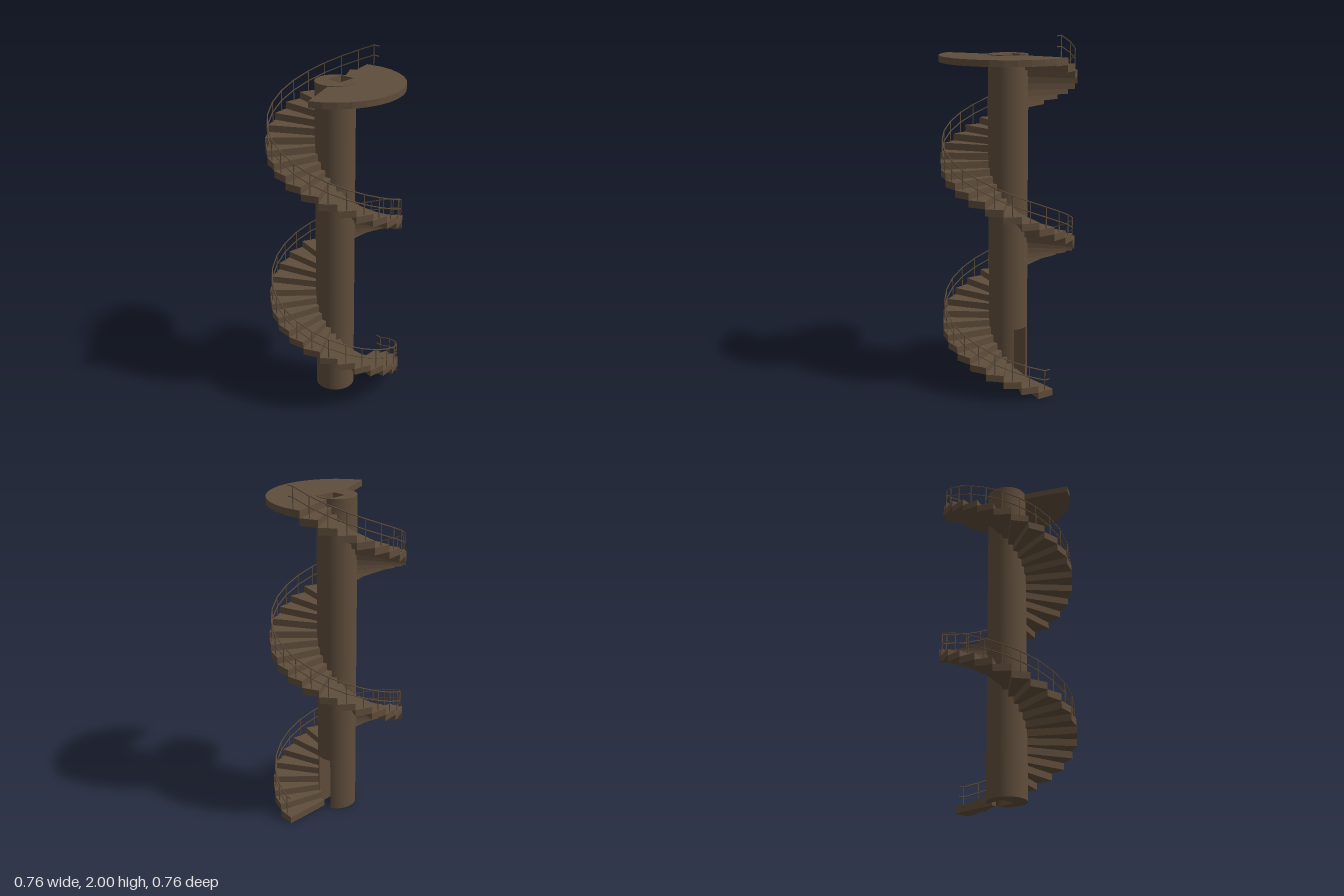
import * as THREE from 'three';
import { toCreasedNormals } from 'three/addons/utils/BufferGeometryUtils.js';

const STEPS = 48, SECTOR = Math.PI / 12, RISE = 1.88 / STEPS;
const R_COL = 0.111, R_OUT = 0.38, R_RAIL = 0.368;
const UP = new THREE.Vector3(0, 1, 0);

// point at angle a (from +x towards +z)
const polar = (r, a, y) => new THREE.Vector3(r * Math.cos(a), y, r * Math.sin(a));

// extrude a plan shape (x, -z) upwards from y0 to y1
function slab(shape, y0, y1) {
  const g = new THREE.ExtrudeGeometry(shape, { depth: y1 - y0, bevelEnabled: false, curveSegments: 48 });
  g.rotateX(-Math.PI / 2);
  g.translate(0, y0, 0);
  return g;
}

// ring sector with straight outer chords
function sectorShape(r0, r1, a0, a1, n) {
  const pts = [];
  for (let i = 0; i <= n; i++) {
    const a = a0 + (a1 - a0) * i / n;
    pts.push(new THREE.Vector2(r1 * Math.cos(a), -r1 * Math.sin(a)));
  }
  for (let i = n; i >= 0; i--) {
    const a = a0 + (a1 - a0) * i / n;
    pts.push(new THREE.Vector2(r0 * Math.cos(a), -r0 * Math.sin(a)));
  }
  return new THREE.Shape(pts);
}

export function createModel() {
  const brown = new THREE.MeshStandardMaterial({ color: 0x5f4d3b });
  brown.name = 'brown';
  const model = new THREE.Group();
  model.name = 'spiralStaircase';

  function add(parent, name, geometry) {
    const m = new THREE.Mesh(geometry, brown);
    m.name = name;
    parent.add(m);
    return m;
  }
  function bar(parent, name, a, b, r = 0.0035) {
    const d = b.clone().sub(a);
    const m = add(parent, name, new THREE.CylinderGeometry(r, r, d.length(), 6));
    m.position.copy(a).add(b).multiplyScalar(0.5);
    m.quaternion.setFromUnitVectors(UP, d.normalize());
  }

  // central column: square shaft inside, doorway at the foot on the +x side
  const column = new THREE.Group();
  column.name = 'column';
  model.add(column);
  const W = 0.045, X0 = -0.015, X1 = 0.095, DOOR = 0.32;
  const upper = new THREE.Shape().absarc(0, 0, R_COL, 0, Math.PI * 2, false);
  upper.holes.push(new THREE.Path([[X0, -W], [X0, W], [X1, W], [X1, -W]].map(p => new THREE.Vector2(...p))));
  add(column, 'columnShaft', toCreasedNormals(slab(upper, DOOR, 1.884), 0.6));
  const half = Math.asin(W / R_COL);
  const lower = new THREE.Shape();
  lower.absarc(0, 0, R_COL, half, Math.PI * 2 - half, false);
  lower.lineTo(X0, -W);
  lower.lineTo(X0, W);
  lower.closePath();
  add(column, 'columnFoot', toCreasedNormals(slab(lower, 0, DOOR), 0.6));

  // wedge steps, two full turns
  const stairs = new THREE.Group();
  stairs.name = 'steps';
  model.add(stairs);
  const stepGeometry = slab(sectorShape(R_COL - 0.004, R_OUT, 0, SECTOR, 1), 0, RISE);
  for (let i = 0; i < STEPS; i++) {
    const s = add(stairs, 'step', stepGeometry);
    s.position.y = i * RISE;
    s.rotation.y = -i * SECTOR;
  }

  // top landing
  add(model, 'landing', slab(sectorShape(R_COL - 0.004, R_OUT, 0, Math.PI * 0.875, 14), 1.845, 1.88));

  // railing: a post on each step, two rails joining them
  const railing = new THREE.Group();
  railing.name = 'railing';
  model.add(railing);
  for (let i = 0; i < STEPS; i++) {
    const a = (i + 0.5) * SECTOR, top = (i + 1) * RISE;
    bar(railing, 'post', polar(R_RAIL, a, top - 0.005), polar(R_RAIL, a, top + 0.1165), 0.003);
  }
  for (const h of [0.06, 0.1165]) {
    const pts = [polar(R_RAIL, 0.04, RISE + h)];
    for (let i = 0; i < STEPS; i++) pts.push(polar(R_RAIL, (i + 0.5) * SECTOR, (i + 1) * RISE + h));
    pts.push(polar(R_RAIL, -0.04, STEPS * RISE + h));
    for (let i = 1; i < pts.length; i++) bar(railing, 'rail', pts[i - 1], pts[i]);
  }
  return model;
}
